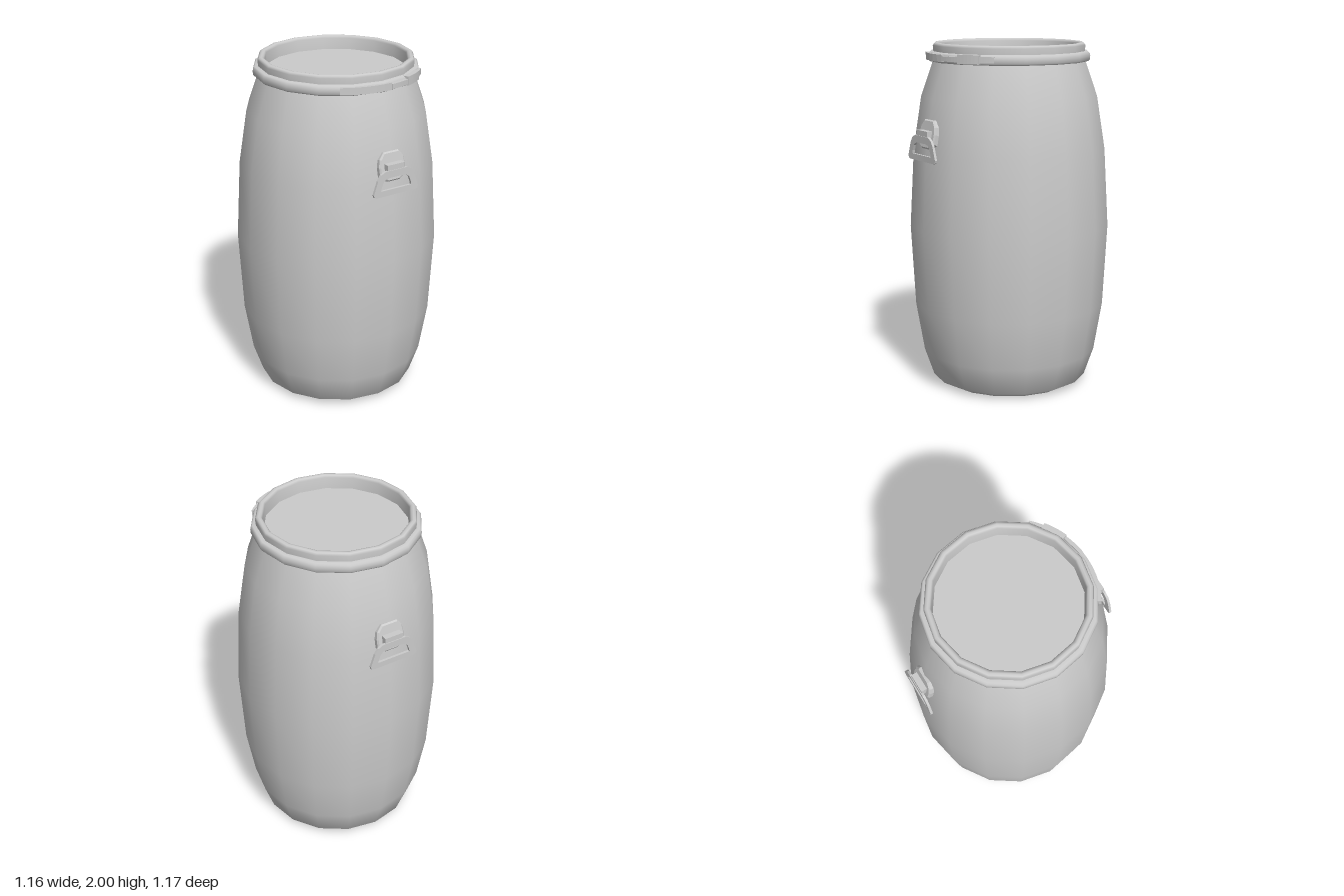
import * as THREE from 'three';

const SIDES = 16;
const material = new THREE.MeshStandardMaterial({ color: 0xcccccc, side: THREE.DoubleSide });

function add(parent, name, geometry) {
  const mesh = new THREE.Mesh(geometry, material);
  mesh.name = name;
  parent.add(mesh);
  return mesh;
}

const toPoints = (pairs) => pairs.map(([x, y]) => new THREE.Vector2(x, y));
const lathe = (pairs) => new THREE.LatheGeometry(toPoints(pairs), SIDES);

// Closed outline from the right half, mirrored to the left
function mirroredOutline(half) {
  const left = half.map(([x, y]) => [-x, y]).reverse();
  return toPoints([...half, ...left]);
}

// Curved strip hugging the clamp ring, angles in degrees from the front towards +x
function strip(from, to, inner, outer, y, height) {
  const steps = 6;
  const arc = (r, t) => {
    const a = THREE.MathUtils.degToRad(from + (to - from) * t);
    return new THREE.Vector2(Math.sin(a) * r, -Math.cos(a) * r);
  };
  const points = [];
  for (let i = 0; i <= steps; i++) points.push(arc(outer, i / steps));
  for (let i = steps; i >= 0; i--) points.push(arc(inner, i / steps));
  const geometry = new THREE.ExtrudeGeometry(new THREE.Shape(points), { depth: height, bevelEnabled: false });
  return geometry.rotateX(-Math.PI / 2).translate(0, y, 0);
}

function createHandle() {
  const handle = new THREE.Group();
  handle.name = 'handle';

  // Domed pad leaning with the barrel wall
  const padShape = new THREE.Shape(mirroredOutline([
    [0.035, -0.075], [0.075, -0.05], [0.077, 0], [0.07, 0.04], [0.045, 0.072],
  ]));
  const padGeometry = new THREE.ExtrudeGeometry(padShape, {
    depth: 0.05, bevelThickness: 0.008, bevelSize: 0.008, bevelSegments: 1,
  });
  const pad = add(handle, 'handlePad', padGeometry);
  pad.position.set(0, 1.5, 0.495);
  pad.rotation.x = -0.19;

  // Clip holding the grip
  add(handle, 'handleClip', new THREE.BoxGeometry(0.11, 0.05, 0.045)).position.set(0, 1.505, 0.56);

  // Hanging grip with a finger opening
  const gripShape = new THREE.Shape(mirroredOutline([
    [0.13, 1.36], [0.142, 1.365], [0.146, 1.38], [0.12, 1.455], [0.1, 1.485], [0.07, 1.5],
  ]));
  gripShape.holes.push(new THREE.Path(mirroredOutline([
    [0.1, 1.393], [0.097, 1.41], [0.085, 1.44], [0.07, 1.455], [0.04, 1.46],
  ])));
  const grip = new THREE.ExtrudeGeometry(gripShape, { depth: 0.014, bevelEnabled: false });
  add(handle, 'handleGrip', grip).position.z = 0.573;
  return handle;
}

export function createModel() {
  const barrel = new THREE.Group();
  barrel.name = 'barrel';

  // Bulging body with a flat base
  add(barrel, 'body', lathe([
    [0, 0.005], [0.39, 0.005], [0.455, 0.04], [0.51, 0.2], [0.557, 0.48], [0.582, 0.95],
    [0.557, 1.4], [0.51, 1.7], [0.44, 1.9], [0.43, 1.93],
  ]));

  // Lid with a raised rounded rim and a sunken panel
  add(barrel, 'lidRim', lathe([
    [0.435, 1.93], [0.44, 1.985], [0.432, 1.997], [0.42, 2], [0.408, 1.997], [0.4, 1.985], [0.396, 1.92],
  ]));
  add(barrel, 'lidPanel', lathe([[0.398, 1.92], [0, 1.92]]));

  // Clamp ring around the neck
  add(barrel, 'clampRing', lathe([
    [0.425, 1.895], [0.458, 1.896], [0.466, 1.905], [0.468, 1.925], [0.465, 1.942], [0.456, 1.95], [0.43, 1.952],
  ]));

  // Lever and clasp closing the ring
  const latch = new THREE.Group();
  latch.name = 'latch';
  add(latch, 'latchLever', strip(-31, 5, 0.45, 0.476, 1.905, 0.04));
  add(latch, 'latchLeverTip', strip(5, 20, 0.455, 0.48, 1.91, 0.028));
  add(latch, 'latchClasp', strip(20, 36, 0.45, 0.482, 1.902, 0.05));
  add(latch, 'latchHook', strip(36, 46, 0.45, 0.475, 1.909, 0.034));
  barrel.add(latch);

  // Handles on the front and back
  for (const angle of [0, Math.PI]) {
    const handle = createHandle();
    handle.rotation.y = angle;
    barrel.add(handle);
  }
  return barrel;
}
